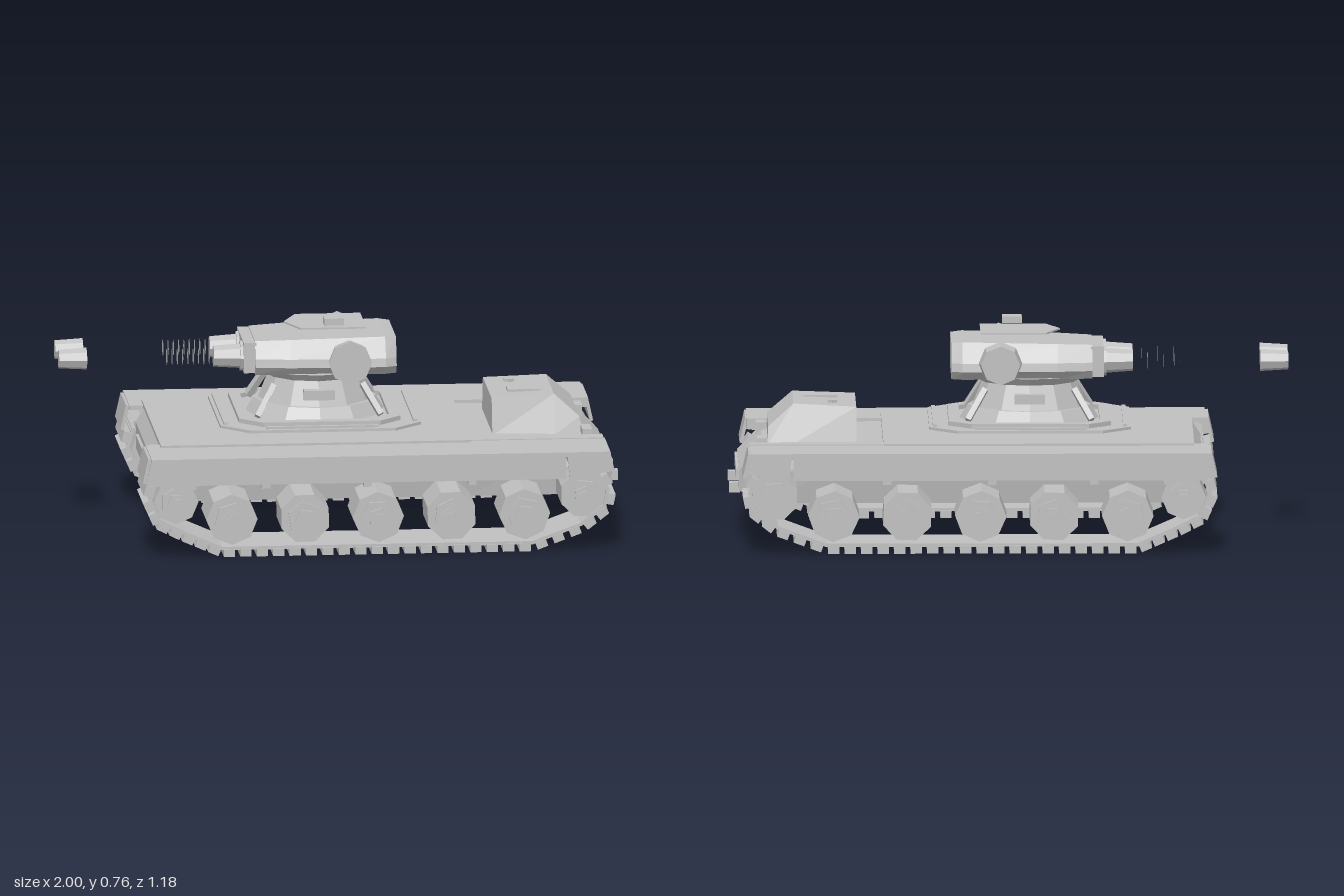
import * as THREE from 'three';

const grey = new THREE.MeshStandardMaterial({ color: 0xc0c0c0, side: THREE.DoubleSide });
grey.name = 'grey';

// Faceted mesh added to a parent
function add(parent, name, geo, x = 0, y = 0, z = 0) {
  const g = geo.index ? geo.toNonIndexed() : geo;
  g.computeVertexNormals();
  const m = new THREE.Mesh(g, grey);
  m.name = name;
  m.position.set(x, y, z);
  parent.add(m);
  return m;
}

// Box given by its min and max corners
function box(parent, name, x0, x1, y0, y1, z0, z1) {
  return add(parent, name, new THREE.BoxGeometry(x1 - x0, y1 - y0, z1 - z0),
    (x0 + x1) / 2, (y0 + y1) / 2, (z0 + z1) / 2);
}

// Closed solid through cross-sections [x, [[y, z], ...]]
function loft(sections) {
  const pos = [], idx = [], n = sections[0][1].length;
  for (const [x, ring] of sections) for (const [y, z] of ring) pos.push(x, y, z);
  for (let s = 0; s < sections.length - 1; s++) {
    for (let i = 0; i < n; i++) {
      const a = s * n + i, b = s * n + (i + 1) % n;
      idx.push(a, a + n, b, b, a + n, b + n);
    }
  }
  const last = (sections.length - 1) * n;
  for (let i = 1; i < n - 1; i++) idx.push(0, i, i + 1, last, last + i + 1, last + i);
  const g = new THREE.BufferGeometry();
  g.setAttribute('position', new THREE.Float32BufferAttribute(pos, 3));
  g.setIndex(idx);
  return g;
}

// Symmetric trapezoid section: bottom and top heights with half widths
const trap = (y0, w0, y1, w1) => [[y0, -w0], [y0, w0], [y1, w1], [y1, -w1]].reverse();

// Horizontal plate from an [x, z] outline
function plate(points, depth, hole) {
  const vec = p => p.map(([x, z]) => new THREE.Vector2(x, -z));
  const s = new THREE.Shape(vec(points));
  if (hole) s.holes.push(new THREE.Path(vec(hole)));
  return new THREE.ExtrudeGeometry(s, { depth, bevelEnabled: false }).rotateX(-Math.PI / 2);
}
const octagon = (a, b, c) => [[a, b - c], [a - c, b], [c - a, b], [-a, b - c],
  [-a, c - b], [c - a, -b], [a - c, -b], [a, c - b]];

const xCylinder = (r0, r1, len, n) => new THREE.CylinderGeometry(r0, r1, len, n).rotateZ(Math.PI / 2);
const zCylinder = (r0, r1, len, n) => new THREE.CylinderGeometry(r0, r1, len, n).rotateX(Math.PI / 2);

function buildHull(root) {
  const hull = new THREE.Group();
  hull.name = 'hull';
  root.add(hull);
  add(hull, 'hullBody', loft([
    [-0.69, trap(0.22, 0.27, 0.31, 0.3)],
    [-0.66, trap(0.19, 0.27, 0.355, 0.31)],
    [-0.55, trap(0.14, 0.27, 0.355, 0.31)],
    [0.45, trap(0.14, 0.27, 0.355, 0.31)],
    [0.88, trap(0.14, 0.27, 0.345, 0.3)],
    [0.965, trap(0.185, 0.26, 0.26, 0.27)],
  ]));
  box(hull, 'deck', -0.66, 0.45, 0.35, 0.37, -0.39, 0.39);
  // Driver cabin with sloping window
  add(hull, 'cabin', loft([
    [0.545, trap(0.345, 0.21, 0.475, 0.18)],
    [0.77, trap(0.345, 0.21, 0.485, 0.165)],
    [0.86, trap(0.345, 0.2, 0.405, 0.185)],
  ]));
  box(hull, 'cabinHatch', 0.61, 0.73, 0.475, 0.488, 0.03, 0.095);
  add(hull, 'cabinCap', new THREE.CylinderGeometry(0.02, 0.02, 0.01, 6), 0.63, 0.484, -0.09);
  // Fittings on both ends
  box(hull, 'endPanel', 0.955, 0.975, 0.215, 0.255, -0.2, 0.24);
  box(hull, 'rearPanel', -0.7, -0.68, 0.24, 0.29, -0.18, 0.18);
  for (const s of [-1, 1]) {
    const lamp = box(hull, 'lamp', 0.865, 0.9, 0.295, 0.37, -0.04, 0.04);
    lamp.position.z = s * 0.2;
    const hook = box(hull, 'towHook', 0.96, 1, 0.165, 0.2, -0.02, 0.02);
    hook.position.z = s * 0.15;
  }
}

function buildSide(root, s) {
  const side = new THREE.Group();
  side.name = s > 0 ? 'frontTrack' : 'backTrack';
  root.add(side);
  const zc = s * 0.453;
  // Fender with hanging skirt panels
  const fender = box(side, 'fender', -0.71, 0.93, 0.345, 0.362, -0.13, 0.13);
  fender.position.z = s * 0.46;
  const lip = box(side, 'fenderLip', 0.45, 0.93, 0.33, 0.365, -0.03, 0.03);
  lip.position.z = s * 0.335;
  for (const [a, b] of [[-0.55, -0.31], [-0.285, 0.055], [0.08, 0.43], [0.455, 0.775]]) {
    const p = box(side, 'skirtPanel', a, b, 0.265, 0.36, -0.006, 0.006);
    p.position.z = s * 0.583;
    const c = box(side, 'skirtClip', a - 0.03, a, 0.25, 0.355, -0.012, 0.012);
    c.position.z = s * 0.577;
  }
  for (const pts of [[[-0.71, 0.36], [-0.73, 0.27], [-0.57, 0.25], [-0.55, 0.36]],
    [[0.78, 0.36], [0.79, 0.27], [0.945, 0.29], [0.925, 0.36]]]) {
    const shape = new THREE.Shape(pts.map(p => new THREE.Vector2(...p)));
    const g = new THREE.ExtrudeGeometry(shape, { depth: 0.012, bevelEnabled: false });
    add(side, 'endSkirt', g, 0, 0, s * 0.583 - 0.006);
  }
  for (const [x, t] of [[-0.725, -0.22], [0.94, 0.22]]) {
    const m = add(side, 'mudFlap', new THREE.BoxGeometry(0.012, 0.09, 0.22), x, 0.315, zc);
    m.rotation.z = t;
  }
  // Wheels with stepped hubs
  const wheels = [[-0.62, 0.2, 0.08], [0.84, 0.2, 0.085]];
  for (let i = 0; i < 5; i++) wheels.push([-0.42 + i * 0.2625, 0.132, 0.092]);
  wheels.forEach(([x, y, r], i) => {
    const w = new THREE.Group();
    w.name = 'wheel';
    w.position.set(x, y, zc);
    w.rotation.z = i * 0.4;
    side.add(w);
    add(w, 'tyre', zCylinder(r, r, 0.21, 8));
    add(w, 'rim', zCylinder(r * 0.7, r * 0.7, 0.235, 6));
    add(w, 'hub', zCylinder(r * 0.42, r * 0.42, 0.255, 5));
    add(w, 'hubNut', new THREE.BoxGeometry(r * 0.35, r * 0.35, 0.27));
  });
  // Belt and links following the track loop
  const loop = [[-0.46, 0.014], [0.66, 0.014], [0.84, 0.08], [0.93, 0.15], [0.945, 0.22],
    [0.9, 0.29], [0.84, 0.315], [-0.64, 0.315], [-0.71, 0.28], [-0.73, 0.21], [-0.69, 0.12], [-0.6, 0.075]];
  loop.forEach((p, i) => {
    const q = loop[(i + 1) % loop.length];
    const dx = q[0] - p[0], dy = q[1] - p[1], len = Math.hypot(dx, dy);
    const run = new THREE.Group();
    run.name = 'trackRun';
    run.position.set(p[0], p[1], zc);
    run.rotation.z = Math.atan2(dy, dx);
    side.add(run);
    add(run, 'belt', new THREE.BoxGeometry(len, 0.012, 0.235), len / 2, 0.016, 0);
    const n = Math.max(1, Math.round(len / 0.06));
    for (let k = 0; k < n; k++) {
      add(run, 'link', new THREE.BoxGeometry(0.04, 0.028, 0.245), (k + 0.5) * len / n, 0, 0);
    }
  });
}

function buildTurret(root) {
  const t = new THREE.Group();
  t.name = 'turret';
  t.position.x = -0.075;
  root.add(t);
  // Octagonal base and stepped rims
  add(t, 'basePlate', plate(octagon(0.36, 0.355, 0.1), 0.01), 0, 0.402, 0);
  add(t, 'baseRim', plate(octagon(0.29, 0.3, 0.08), 0.018, octagon(0.25, 0.26, 0.07)), 0, 0.41, 0);
  for (const s of [-1, 1]) {
    box(t, 'baseRail', -0.2, 0.2, 0.41, 0.42, s * 0.33 - 0.007, s * 0.33 + 0.007);
    box(t, 'baseRail', s * 0.34 - 0.007, s * 0.34 + 0.007, 0.41, 0.42, -0.25, 0.25);
    box(t, 'collarBox', -0.055, 0.055, 0.485, 0.52, s * 0.185 - 0.02, s * 0.185 + 0.02);
    for (const u of [-1, 1]) {
      const strut = add(t, 'strut', new THREE.BoxGeometry(0.02, 0.13, 0.035), u * 0.19, 0.48, s * 0.17);
      strut.rotation.set(-s * 0.4, 0, u * 0.5);
    }
  }
  add(t, 'lowerCollar', new THREE.CylinderGeometry(0.22, 0.25, 0.05, 12), 0, 0.435, 0);
  add(t, 'collar', new THREE.CylinderGeometry(0.165, 0.205, 0.1, 12), 0, 0.505, 0);
  add(t, 'turretRing', new THREE.CylinderGeometry(0.2, 0.18, 0.025, 12), 0, 0.562, 0);
  // Armoured body
  const ring = (k, top) => [[0.57, -0.17 * k], [0.6, -0.195 * k], [0.63, -0.19 * k], [top, -0.155 * k],
    [top, 0.155 * k], [0.63, 0.19 * k], [0.6, 0.195 * k], [0.57, 0.17 * k]];
  add(t, 'turretBody', loft([[-0.225, ring(0.85, 0.69)], [-0.1, ring(0.95, 0.695)],
    [0.24, ring(1, 0.703)], [0.28, ring(0.9, 0.7)]]));
  box(t, 'gunMantlet', -0.265, -0.22, 0.575, 0.685, -0.14, 0.14);
  add(t, 'roofHatch', plate([[-0.11, 0], [-0.06, -0.12], [0.175, -0.12], [0.175, 0.12], [-0.06, 0.12]], 0.006),
    0, 0.726, 0);
  box(t, 'sight', 0.025, 0.095, 0.74, 0.765, 0.07, 0.125);
  for (const s of [-1, 1]) {
    add(t, 'sidePod', zCylinder(0.078, 0.07, 0.066, 8), 0.105, 0.635, s * 0.245);
    // Twin guns: sleeve, thin cooling discs and separate muzzle
    const gun = new THREE.Group();
    gun.name = 'gun';
    gun.position.set(0, 0.627, s * 0.08);
    t.add(gun);
    add(gun, 'sleeve', xCylinder(0.055, 0.055, 0.05, 8), -0.25);
    add(gun, 'sleeveTip', xCylinder(0.038, 0.046, 0.11, 8), -0.315);
    for (let i = 0; i < 9; i++) {
      add(gun, 'coolingDisc', new THREE.CircleGeometry(0.03, 8).rotateY(-Math.PI / 2), -0.385 - i * 0.019);
    }
    add(gun, 'muzzle', xCylinder(0.034, 0.04, 0.1, 8), -0.875);
  }
}

export function createModel() {
  const root = new THREE.Group();
  root.name = 'trackedVehicle';
  buildHull(root);
  buildSide(root, 1);
  buildSide(root, -1);
  buildTurret(root);
  return root;
}
